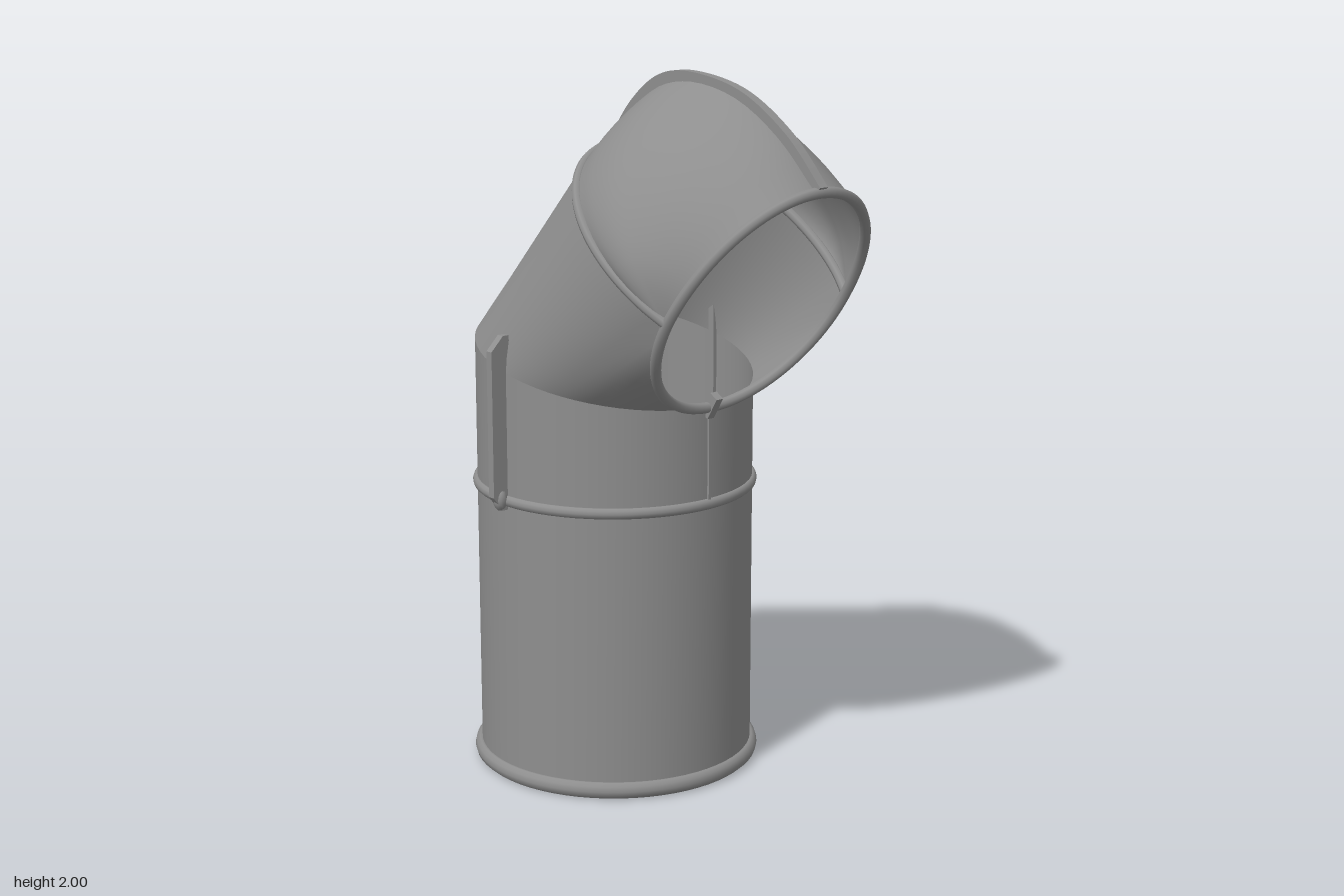
import * as THREE from 'three';

const metal = new THREE.MeshStandardMaterial({ color: 0x8e8e8e, side: THREE.DoubleSide });
metal.name = 'grey metal';

const V = (x, y, z) => new THREE.Vector3(x, y, z);
const lerp = THREE.MathUtils.lerp;
const R = 0.392, AXIS_Z = -0.2;          // pipe radius and axis
const STEPS = 32, SIDE = 11;             // half-turn divisions, division where hood meets mouth
const B0 = Math.PI * SIDE / STEPS;
const HALF_W = 0.326;                    // half width of the mouth
const PIVOT = V(0, 1.4, 0.385);          // middle of the mouth
const MOUTH_BOTTOM = V(0, 1.1, 0.2);

// Ridge line of the hood, from the rear seam to the top of the mouth
const ridge = new THREE.CatmullRomCurve3([
  [1.79, -0.15], [1.88, -0.1], [1.955, 0], [1.98, 0.13], [1.95, 0.3], [1.86, 0.46], [1.73, 0.6],
].map(([y, z]) => V(0, y, z)));

// Smooth surface from a grid of points
function grid(rows, cols, point, closed = false) {
  const pos = [], idx = [], n = closed ? cols : cols + 1;
  for (let i = 0; i <= rows; i++) {
    for (let j = 0; j < n; j++) pos.push(...point(i / rows, j).toArray());
  }
  for (let i = 0; i < rows; i++) {
    for (let j = 0; j < cols; j++) {
      const a = i * n + j, b = i * n + (j + 1) % n;
      idx.push(a, b, b + n, a, b + n, a + n);
    }
  }
  const g = new THREE.BufferGeometry();
  g.setAttribute('position', new THREE.Float32BufferAttribute(pos, 3));
  g.setIndex(idx);
  g.computeVertexNormals();
  return g;
}

// Hood point: s runs from seam to mouth, u from -1 to 1 across the ridge
function hoodPoint(s, u) {
  const start = lerp(B0, Math.PI / 2, s);
  const b = Math.PI - (Math.PI - start) * Math.abs(u);
  const t = (Math.cos(start) - Math.cos(b)) / (Math.cos(start) + 1);
  const p = PIVOT.clone().lerp(ridge.getPoint(s), t);
  const power = 1 + 0.8 * Math.sin(Math.PI * s);
  const width = HALF_W + 0.02 * Math.sin(Math.PI * s) * Math.min(1, t * 4);
  p.x = Math.sign(u) * width * Math.pow(Math.max(0, Math.sin(b)) / Math.sin(start), power);
  return p;
}

// Slanted joint between the upright pipe and the elbow
function mitrePoint(a) {
  return V(R * Math.sin(a), 1.185 - 0.085 * Math.cos(a), AXIS_Z + R * Math.cos(a));
}

// Lower half of the mouth rim, q from -1 to 1
function lowerMouthPoint(q) {
  const a = q * Math.PI / 2;
  const p = PIVOT.clone().lerp(MOUTH_BOTTOM, Math.cos(a));
  p.x = HALF_W * Math.sin(a);
  return p;
}

// Open end of the elbow: lower mouth in front, hood seam behind
function elbowEnd(j) {
  const k = j <= STEPS ? j : j - 2 * STEPS;
  const m = Math.abs(k), sign = Math.sign(k);
  if (m <= SIDE) return lowerMouthPoint(k / SIDE);
  return hoodPoint(0, sign * (STEPS - m) / (STEPS - SIDE));
}

export function createModel() {
  const group = new THREE.Group();
  const add = (name, geometry, x = 0, y = 0, z = 0) => {
    const mesh = new THREE.Mesh(geometry, metal);
    mesh.name = name;
    mesh.position.set(x, y, z);
    group.add(mesh);
    return mesh;
  };
  const angle = j => j * Math.PI / STEPS;

  // Upright pipe, cut at a slant on top
  add('uprightPipe', grid(1, 2 * STEPS, (v, j) => {
    const p = mitrePoint(angle(j));
    p.y *= v;
    return p;
  }, true));
  add('bottomCap', new THREE.CircleGeometry(R, 64).rotateX(Math.PI / 2), 0, 0.004, AXIS_Z);

  // Elbow leaning forward
  add('elbow', grid(8, 2 * STEPS, (v, j) => mitrePoint(angle(j)).lerp(elbowEnd(j), v), true));

  // Domed hood
  add('hood', grid(24, 40, (s, j) => hoodPoint(s, 1 - j / 20)));

  // Rolled rings on the upright pipe
  const ring = (name, y, r, tube, stretch) => add(name,
    new THREE.TorusGeometry(r, tube, 10, 64).rotateX(Math.PI / 2).scale(1, stretch, 1), 0, y, AXIS_Z);
  ring('baseRing', 0.024, 0.392, 0.02, 1.2);
  ring('collarRing', 0.825, 0.392, 0.013, 1.2);

  // Beads along the hood seam and around the mouth
  const bead = (name, pts, closed, r) => add(name, new THREE.TubeGeometry(
    new THREE.CatmullRomCurve3(pts, closed), 96, r, 8, closed));
  const seam = [], rim = [];
  for (let i = -12; i <= 12; i++) seam.push(hoodPoint(0, i / 12));
  for (let i = -12; i < 12; i++) rim.push(hoodPoint(1, i / 12));
  for (let i = 12; i > -12; i--) rim.push(lowerMouthPoint(i / 12));
  bead('seamBead', seam, false, 0.014);
  bead('mouthRim', rim, true, 0.015);

  // Narrow fin over the ridge, standing clear of the hood at the rear
  const shape = new THREE.Shape();
  shape.moveTo(0.615, 1.745);
  shape.splineThru([[0.49, 1.868], [0.32, 1.965], [0.13, 2], [0, 1.982], [-0.11, 1.905],
    [-0.19, 1.8], [-0.235, 1.69]].map(p => new THREE.Vector2(...p)));
  shape.lineTo(-0.2, 1.68);
  shape.splineThru([[-0.165, 1.79], [-0.09, 1.88], [0, 1.94], [0.13, 1.965], [0.31, 1.93],
    [0.47, 1.835], [0.59, 1.72]].map(p => new THREE.Vector2(...p)));
  add('ridgeFin', new THREE.ExtrudeGeometry(shape, { depth: 0.028, bevelEnabled: false, curveSegments: 30 })
    .translate(0, 0, -0.014).rotateY(-Math.PI / 2));

  // Side fins with chamfered ends on the collar
  for (const side of [-1, 1]) {
    const fin = new THREE.Shape([[0.38, 0.8], [0.41, 0.8], [0.44, 0.84], [0.44, 1.25], [0.4, 1.29], [0.38, 1.29]]
      .map(([x, y]) => new THREE.Vector2(x, y)));
    const g = new THREE.ExtrudeGeometry(fin, { depth: 0.022, bevelEnabled: false }).translate(0, 0, -0.011);
    if (side < 0) g.rotateY(Math.PI);
    add(side > 0 ? 'leftFin' : 'rightFin', g, 0, 0, -0.208);
    const foot = add('finFoot', new THREE.SphereGeometry(0.02, 12, 8), side * 0.41, 0.83, -0.208);
    foot.scale.set(1, 1.6, 1);
  }

  // Front joint strip and small tab under the mouth
  add('frontJoint', new THREE.BoxGeometry(0.008, 0.28, 0.012), 0, 0.96, AXIS_Z + R);
  add('mouthTab', new THREE.BoxGeometry(0.024, 0.07, 0.03), 0, 1.105, 0.205).rotation.x = 0.55;

  return group;
}
